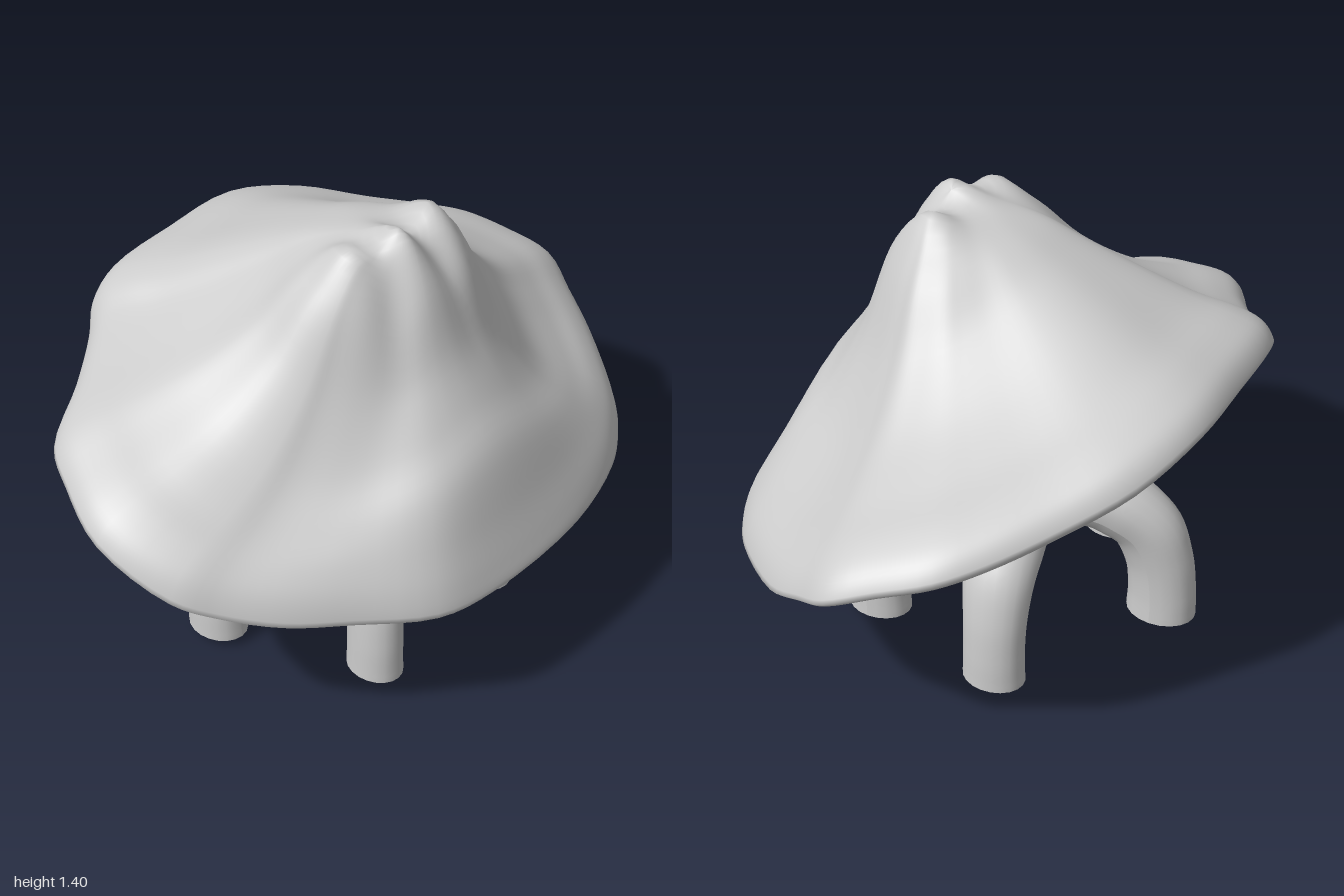
import * as THREE from 'three';

const mat = new THREE.MeshStandardMaterial({ color: 0xcccccc, side: THREE.DoubleSide });
const V = (x, y, z) => new THREE.Vector3(x, y, z);
const lerp = THREE.MathUtils.lerp;

// Cap outline seen from above: x, z, clockwise from the back
const RIM = [
  [-0.08, -0.705], [0.2, -0.71], [0.45, -0.635], [0.64, -0.5], [0.8, -0.375], [0.9, -0.27], [0.96, -0.13],
  [1, 0.01], [0.95, 0.13], [0.88, 0.27], [0.7, 0.49], [0.6, 0.57], [0.47, 0.64], [0.2, 0.7], [-0.2, 0.7],
  [-0.4, 0.66], [-0.6, 0.52], [-0.75, 0.4], [-0.87, 0.27], [-0.95, 0.17], [-1, -0.05], [-0.93, -0.24],
  [-0.86, -0.36], [-0.66, -0.48], [-0.5, -0.59], [-0.42, -0.655], [-0.32, -0.69],
];
// Height of the rim along z, front to back
const RIM_Y = [[0.7, 0.455], [0.64, 0.475], [0.4, 0.52], [0.25, 0.565], [0.13, 0.63], [0, 0.7],
  [-0.1, 0.74], [-0.4, 0.83], [-0.6, 0.91], [-0.71, 1.0]];

function rimHeight(z) {
  for (let i = 1; i < RIM_Y.length; i++) {
    const [z0, y0] = RIM_Y[i - 1], [z1, y1] = RIM_Y[i];
    if (z >= z1) return lerp(y0, y1, Math.max(0, (z0 - z) / (z0 - z1)));
  }
  return 1.0;
}

const rimCurve = new THREE.CatmullRomCurve3(RIM.map(([x, z]) => V(x, rimHeight(z), z)), true);
const APEX = V(-0.05, 1.35, 0.22);
const UNDER = V(0.01, 0.92, -0.13);

// Slope profiles from apex to rim: distance, then height for side, front and back
const T = [0, 0.14, 0.28, 0.42, 0.58, 0.75, 0.88, 0.96, 1];
const SIDE = [1, 0.99, 0.87, 0.58, 0.36, 0.23, 0.16, 0.09, 0];
const FRONT = [1, 0.97, 0.88, 0.69, 0.54, 0.4, 0.19, 0.07, 0];
const BACK = [1, 1.03, 0.95, 0.8, 0.61, 0.4, 0.28, 0.17, 0];
const slopes = new THREE.CatmullRomCurve3(T.map((_, i) => V(SIDE[i], FRONT[i], BACK[i])), false, 'catmullrom');
const reach = new THREE.SplineCurve(T.map((t, i) => new THREE.Vector2(t, i)));

// Knobs and hollows around the summit: x, z, height, spread in x, spread in z
const BUMPS = [[-0.22, 0.17, 0.045, 0.06, 0.09], [-0.08, 0.24, 0.06, 0.05, 0.1], [0.11, 0.2, 0.055, 0.06, 0.1],
  [-0.19, 0.33, -0.06, 0.07, 0.08], [0.02, 0.33, -0.03, 0.05, 0.1]];

function capTop(u, v) {
  const rim = rimCurve.getPoint(u), t = reach.getPoint(v).x, f = slopes.getPoint(v);
  const dx = rim.x - APEX.x, dz = rim.z - APEX.z, w = dz * dz / (dx * dx + dz * dz);
  const h = dz > 0 ? lerp(f.x, f.y, w) : lerp(f.x, f.z, w ** 1.5);
  const p = V(lerp(APEX.x, rim.x, t), lerp(rim.y, APEX.y, h), lerp(APEX.z, rim.z, t));
  for (const [x, z, amp, sx, sz] of BUMPS) {
    p.y += amp * Math.exp(-(((p.x - x) / sx) ** 2) - ((p.z - z) / sz) ** 2);
  }
  return p;
}

const capUnder = (u, s, drop) => {
  const p = UNDER.clone().lerp(rimCurve.getPoint(u), s);
  p.y -= drop;
  return p;
};

// Cap: rows from the apex down to the rim, round the lip and back in underneath
function capGeometry() {
  const cols = RIM.length * 4, rows = 40, pos = [], idx = [];
  const rings = [];
  for (let i = 0; i <= rows; i++) rings.push(u => capTop(u, i / rows));
  for (const [s, drop] of [[0.985, 0.018], [0.96, 0.025], [0.93, 0.02], [0.88, 0.01], [0.7, 0], [0.4, 0], [0, 0]]) {
    rings.push(u => capUnder(u, s, drop));
  }
  rings.forEach((ring, i) => {
    for (let j = 0; j < cols; j++) {
      pos.push(...ring(j / cols).toArray());
      if (i + 1 < rings.length) {
        const k = (j + 1) % cols, a = i * cols + j, d = i * cols + k;
        idx.push(a, d + cols, a + cols, a, d, d + cols);
      }
    }
  });
  const g = new THREE.BufferGeometry();
  g.setAttribute('position', new THREE.Float32BufferAttribute(pos, 3));
  g.setIndex(idx);
  g.computeVertexNormals();
  return g;
}

// Gill blade along z: fuller towards the outer end, sagging in the middle
function bladeGeometry() {
  const g = new THREE.SphereGeometry(1, 10, 16).rotateX(Math.PI / 2);
  const p = g.attributes.position;
  for (let i = 0; i < p.count; i++) {
    const z = p.getZ(i), k = 0.75 + 0.35 * z;
    p.setXYZ(i, p.getX(i) * k, p.getY(i) * k - 0.8 * (1 - z * z), z);
  }
  g.computeVertexNormals();
  return g;
}

// Tube with a radius rule along its length, deeper in z than it is wide
const DEPTH = 1.25;
function taperedTube(points, radius, segs = 40, sides = 20) {
  const g = new THREE.TubeGeometry(new THREE.CatmullRomCurve3(points), segs, 1, sides);
  const p = g.attributes.position, n = g.attributes.normal;
  for (let i = 0; i < p.count; i++) {
    const r = radius(Math.floor(i / (sides + 1)) / segs);
    p.setXYZ(i, p.getX(i) + n.getX(i) * (r - 1), p.getY(i) + n.getY(i) * (r - 1), p.getZ(i) + n.getZ(i) * (r * DEPTH - 1));
  }
  g.computeVertexNormals();
  return g;
}

// Stem: neck flaring into the hub of the legs, leaning back towards the top
function stemGeometry() {
  const profile = [[0, 0.4], [0.1, 0.4], [0.18, 0.44], [0.185, 0.5], [0.14, 0.59], [0.1, 0.69], [0.085, 0.8], [0.09, 0.94]];
  const g = new THREE.LatheGeometry(new THREE.SplineCurve(profile.map(([x, y]) => new THREE.Vector2(x, y))).getPoints(32), 28);
  const p = g.attributes.position;
  for (let i = 0; i < p.count; i++) p.setZ(i, p.getZ(i) - 0.16 * Math.max(0, p.getY(i) - 0.5));
  g.computeVertexNormals();
  return g;
}

export function createModel() {
  const model = new THREE.Group();
  const add = (name, geometry, parent = model) => {
    const mesh = new THREE.Mesh(geometry, mat);
    mesh.name = name;
    parent.add(mesh);
    return mesh;
  };

  add('cap', capGeometry());

  // Gills: slim blades fanning out under the cap
  const gills = new THREE.Group();
  gills.name = 'gills';
  model.add(gills);
  const blade = bladeGeometry();
  const count = 52;
  for (let i = 0; i < count; i++) {
    const u = (i + 0.5) / count;
    const a = capUnder(u, i % 2 ? 0.22 : 0.12, 0.01), b = capUnder(u, i % 2 ? 0.87 : 0.82, 0.03);
    const gill = add('gill', blade, gills);
    gill.position.copy(a).add(b).multiplyScalar(0.5);
    gill.lookAt(b);
    gill.scale.set(0.014, 0.03, a.distanceTo(b) / 2);
  }

  const hub = V(-0.01, 0, -0.06);
  add('stem', stemGeometry()).position.copy(hub);

  // Legs: foot x, y, z and radius
  const legs = [
    ['frontLeftLeg', 0.235, 0.03, 0.335, 0.083],
    ['frontRightLeg', -0.285, 0.005, 0.335, 0.075],
    ['middleLeftLeg', 0.375, 0.04, -0.155, 0.08],
    ['middleRightLeg', -0.48, 0.035, -0.13, 0.08],
    ['backLeg', -0.14, 0.055, -0.465, 0.09],
  ];
  for (const [name, x, y, z, r] of legs) {
    const leg = new THREE.Group();
    leg.name = name;
    model.add(leg);
    const at = (k, h) => V(lerp(hub.x, x, k), h, lerp(hub.z, z, k));
    const path = [at(1, y), at(1, 0.14), at(0.96, 0.27), at(0.85, 0.38), at(0.62, 0.455), at(0.36, 0.495), at(0.13, 0.58), at(0, 0.7)];
    add('limb', taperedTube(path, t => r * (1 - 0.06 * Math.sin(Math.PI * Math.min(1, t * 2))) + 0.025 * Math.sin(Math.PI * t ** 2) - 0.02 * t ** 4), leg);
    const sole = add('sole', new THREE.CircleGeometry(r, 20).rotateX(Math.PI / 2), leg);
    sole.position.set(x, y, z);
    sole.scale.z = DEPTH;
  }
  return model;
}
